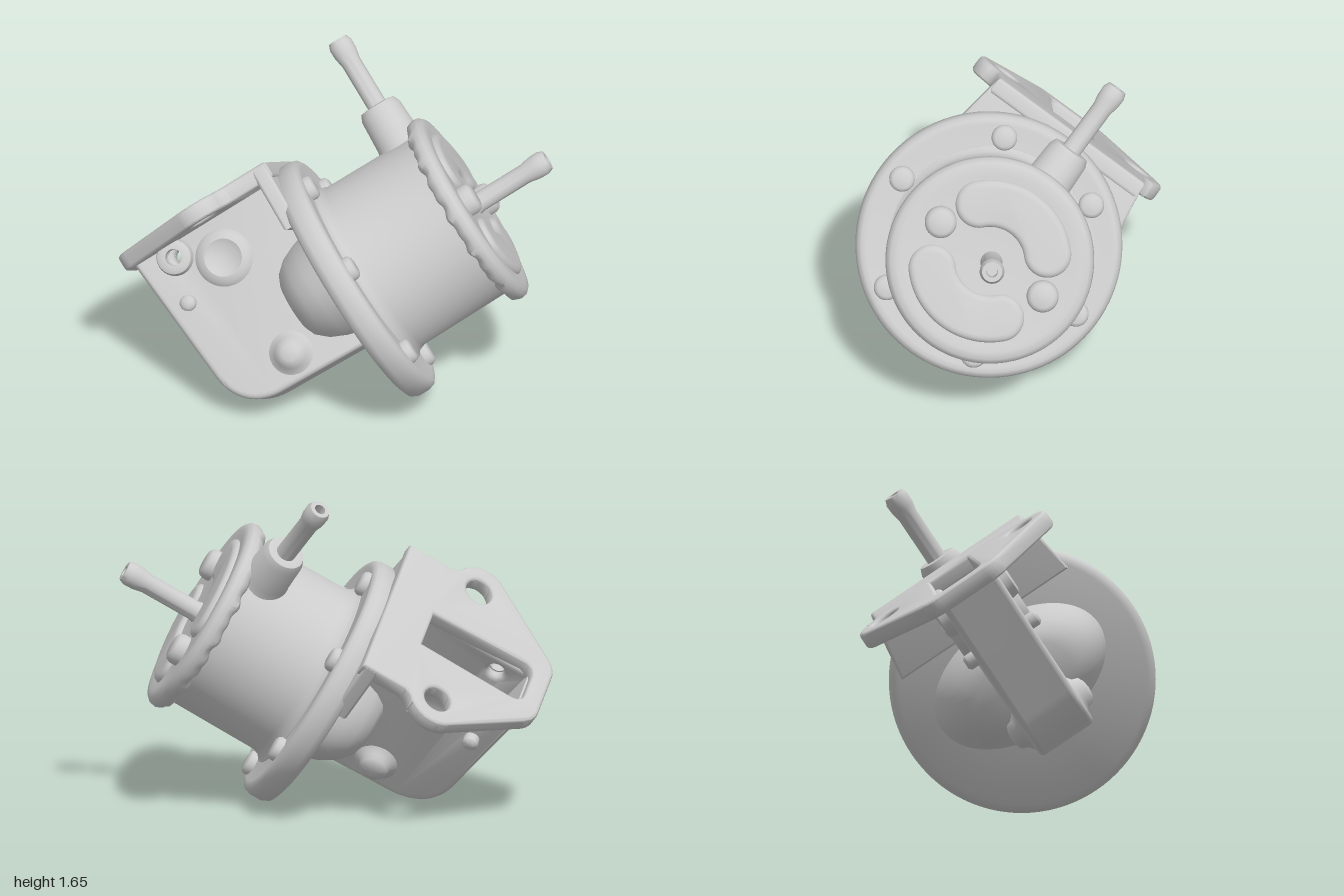
import * as THREE from 'three';
import { toCreasedNormals } from 'three/addons/utils/BufferGeometryUtils.js';

const material = new THREE.MeshStandardMaterial({ color: 0xcccccc, side: THREE.DoubleSide });
const V2 = (x, y) => new THREE.Vector2(x, y);

export function createModel() {
  const model = new THREE.Group();
  model.name = 'pump';
  // Tilted frame: y runs along the barrel, z is the normal of the mounting plate
  const pump = new THREE.Group();
  pump.name = 'tiltedPump';
  const axis = new THREE.Vector3(0.83, 0.51, 0.23).normalize();
  const side = new THREE.Vector3(-0.503, 0.514, 0.693);
  const normal = side.clone().cross(axis).normalize();
  side.crossVectors(axis, normal);
  pump.quaternion.setFromRotationMatrix(new THREE.Matrix4().makeBasis(side, axis, normal));
  pump.position.set(0.03, 0.61, 0.16);
  model.add(pump);

  const add = (name, geometry, x = 0, y = 0, z = 0) => {
    const mesh = new THREE.Mesh(toCreasedNormals(geometry, 0.8), material);
    mesh.name = name;
    mesh.position.set(x, y, z);
    pump.add(mesh);
    return mesh;
  };
  const lathe = (points, segments = 64) =>
    new THREE.LatheGeometry(points.map(([r, y]) => V2(r, y)), segments);
  const extrude = (shape, depth, bevel = 0.015) => new THREE.ExtrudeGeometry(shape, {
    depth: depth - 2 * bevel, bevelEnabled: bevel > 0, bevelSize: bevel, bevelThickness: bevel,
    bevelOffset: -bevel, bevelSegments: 4, curveSegments: 16,
  }).translate(0, 0, bevel);
  const circleHole = (x, y, r) => new THREE.Path().absarc(x, y, r, 0, Math.PI * 2, true);

  // Barrel and clamping flange
  add('barrel', lathe([[0, 0], [0.5, 0], [0.5, 0.062], [0.475, 0.08], [0.46, 0.12], [0.455, 0.64], [0, 0.64]], 96));
  add('flange', lathe([
    [0, -0.08], [0.62, -0.08], [0.65, -0.068], [0.665, -0.035], [0.665, 0.02],
    [0.655, 0.05], [0.635, 0.064], [0.61, 0.064], [0.57, 0.058], [0.45, 0.058], [0, 0.058],
  ], 96));
  // Oblong swelling that blends the flange into the housing
  const neck = lathe([[0, -0.33], [0.25, -0.325], [0.32, -0.3], [0.39, -0.24], [0.44, -0.16], [0.48, -0.06], [0, -0.06]]);
  add('neck', neck.scale(1, 1, 0.65), 0, 0, 0.03);

  // Crimped cap with a slightly wavy rim
  const cap = lathe([
    [0, 0.61], [0.47, 0.61], [0.505, 0.625], [0.52, 0.655], [0.515, 0.685],
    [0.495, 0.705], [0.46, 0.712], [0.43, 0.707], [0, 0.707],
  ], 160);
  const p = cap.attributes.position;
  for (let i = 0; i < p.count; i++) {
    const r = Math.hypot(p.getX(i), p.getZ(i));
    if (r < 0.465 || p.getY(i) > 0.65) continue;
    const t = Math.atan2(p.getZ(i), p.getX(i));
    p.setY(i, p.getY(i) + 0.005 * Math.sin(t * 29) + 0.005 * Math.sin(t * 17));
  }
  add('cap', cap);

  // Raised kidney pads on the cap
  for (const s of [-1, 1]) {
    const from = 0.24 * Math.PI, to = 0.76 * Math.PI, r = 0.29, w = 0.12;
    const kidney = new THREE.Shape();
    kidney.absarc(0, 0, r + w, from, to, false);
    kidney.absarc(r * Math.cos(to), r * Math.sin(to), w, to, to + Math.PI, false);
    kidney.absarc(0, 0, r - w, to, from, true);
    kidney.absarc(r * Math.cos(from), r * Math.sin(from), w, from + Math.PI, from + 2 * Math.PI, false);
    const pad = add('kidneyPad', extrude(kidney, 0.08, 0.035), 0, 0.652, 0);
    pad.rotation.set(-Math.PI / 2, 0, s > 0 ? 0 : Math.PI);
  }

  // Rounded bolt heads
  const bolt = (name, r, h, x, y, z) => add(name, lathe([
    [0, 0], [r, 0], [r, h * 0.55], [r * 0.9, h * 0.85], [r * 0.7, h], [0, h],
  ], 24), x, y, z);
  for (const s of [-1, 1]) bolt('capBolt', 0.08, 0.07, s * 0.315, 0.7, 0.015);
  for (let i = 0; i < 6; i++) {
    const t = i * Math.PI / 3 + 0.03;
    bolt('flangeBolt', 0.064, 0.05, 0.55 * Math.cos(t), 0.05, 0.55 * Math.sin(t));
  }

  // Hollow hose spigots: outlet on the cap, inlet on the barrel
  const spigot = (length) => lathe([
    [0, 0], [0.062, 0], [0.05, 0.05], [0.05, length - 0.13], [0.06, length - 0.08],
    [0.062, length - 0.03], [0.05, length], [0.028, length], [0.026, length - 0.06], [0, length - 0.06],
  ], 32);
  add('outletSpigot', spigot(0.45), -0.01, 0.68, 0);
  add('inletSpigot', spigot(0.46), -0.01, 0.54, 0.6).rotation.x = Math.PI / 2;
  add('inletCollar', lathe([
    [0, 0], [0.14, 0], [0.118, 0.07], [0.11, 0.24], [0.095, 0.275], [0.07, 0.28], [0, 0.26],
  ], 32), -0.01, 0.54, 0.4).rotation.x = Math.PI / 2;

  // Mounting plate with two eared bolt holes and the lever slot
  const plate = new THREE.Shape();
  plate.moveTo(-0.45, -0.03);
  plate.lineTo(-0.45, -0.27);
  plate.quadraticCurveTo(-0.46, -0.31, -0.51, -0.33);
  plate.absarc(-0.41, -0.45, 0.148, 2.25, 3.85, false);
  plate.lineTo(-0.23, -0.9);
  plate.quadraticCurveTo(-0.19, -0.95, -0.13, -0.95);
  plate.lineTo(0.13, -0.95);
  plate.quadraticCurveTo(0.19, -0.95, 0.23, -0.9);
  plate.absarc(0.41, -0.45, 0.148, -0.708, 0.892, false);
  plate.quadraticCurveTo(0.46, -0.31, 0.45, -0.27);
  plate.lineTo(0.45, -0.03);
  plate.closePath();
  for (const s of [-1, 1]) plate.holes.push(circleHole(s * 0.4, -0.445, 0.07));
  const slot = new THREE.Path();
  slot.moveTo(-0.115, -0.27);
  slot.lineTo(0.105, -0.27);
  slot.lineTo(0.125, -0.78);
  slot.quadraticCurveTo(0.125, -0.85, 0.06, -0.85);
  slot.lineTo(-0.06, -0.85);
  slot.quadraticCurveTo(-0.125, -0.85, -0.125, -0.78);
  slot.closePath();
  plate.holes.push(slot);
  add('mountingPlate', extrude(plate, 0.09, 0.02), 0, 0, 0.615);

  // Wall joining the plate to the flange
  const web = new THREE.Shape([V2(-0.45, 0.69), V2(0.45, 0.69), V2(0.5, 0.35), V2(-0.5, 0.35)]);
  add('plateWeb', extrude(web, 0.08), 0, -0.04, 0).rotation.x = Math.PI / 2;

  // Lever housing: two cheeks with a pivot hole and a wall around the cavity.
  // Shape x is minus the local z, so that extrusion runs along the local x.
  const outline = (shape) => {
    shape.lineTo(-0.65, -0.9);
    shape.lineTo(0.06, -0.84);
    shape.bezierCurveTo(0.18, -0.83, 0.29, -0.76, 0.3, -0.6);
    shape.lineTo(0.32, -0.06);
    shape.closePath();
    return shape;
  };
  const cheek = outline(new THREE.Shape().moveTo(-0.65, -0.06));
  cheek.holes.push(circleHole(-0.55, -0.7, 0.04));
  for (const x of [-0.145, 0.115])
    add('housingCheek', extrude(cheek, 0.06, 0.028), x, 0, 0).rotation.y = Math.PI / 2;
  const wall = new THREE.Shape();
  wall.moveTo(-0.65, -0.06);
  wall.lineTo(-0.65, -0.25);
  wall.lineTo(0.24, -0.25);
  wall.lineTo(0.24, -0.6);
  wall.bezierCurveTo(0.23, -0.72, 0.18, -0.77, 0.06, -0.78);
  wall.lineTo(-0.65, -0.84);
  add('housingWall', extrude(outline(wall), 0.26, 0), -0.115, 0, 0).rotation.y = Math.PI / 2;

  // Bosses, pivot collars and small pegs on both cheeks
  for (const s of [-1, 1]) {
    const onCheek = (name, geometry, y, z) => {
      add(name, geometry, s > 0 ? 0.168 : -0.138, y, z).rotation.z = -s * Math.PI / 2;
    };
    onCheek('pivotCollar', lathe([
      [0.042, 0], [0.095, 0], [0.085, 0.05], [0.065, 0.06], [0.042, 0.06], [0.042, 0],
    ], 32), -0.7, 0.55);
    onCheek('roundBoss', lathe([
      [0, 0], [0.15, 0], [0.125, 0.035], [0.095, 0.045], [0.07, 0.03], [0, 0.02],
    ], 32), -0.49, 0.42);
    onCheek('lowerBoss', lathe([[0, 0], [0.12, 0], [0.08, 0.03], [0.07, 0.06], [0.04, 0.075], [0, 0.08]], 32), -0.45, -0.16);
    onCheek('peg', lathe([[0, 0], [0.04, 0], [0.04, 0.05], [0.025, 0.065], [0, 0.065]], 20), -0.76, 0.32);
  }
  return model;
}
